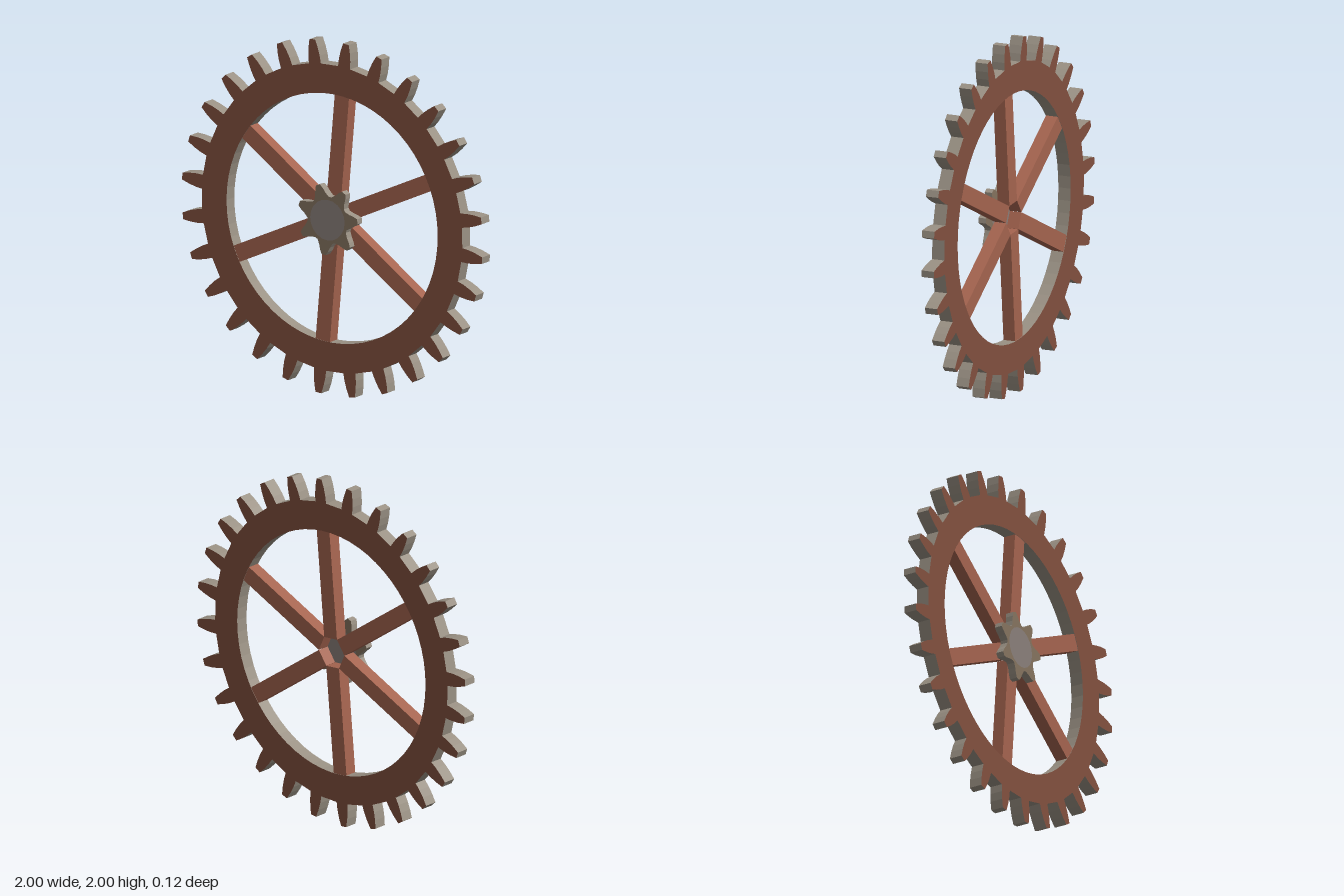
import * as THREE from 'three';

const mat = (color) => new THREE.MeshStandardMaterial({ color, flatShading: true });

// Outline of a toothed wheel; profile lists [radius, half width] from root to tip
function gearShape(teeth, offset, profile, holeRadius, holeSides) {
  const pts = [];
  for (let i = 0; i < teeth; i++) {
    const a = offset + (i * Math.PI * 2) / teeth;
    const add = (r, w) => pts.push(new THREE.Vector2(
      r * Math.cos(a) - w * Math.sin(a), r * Math.sin(a) + w * Math.cos(a)));
    profile.forEach(([r, w]) => add(r, -w));
    [...profile].reverse().forEach(([r, w]) => add(r, w));
  }
  const shape = new THREE.Shape(pts);
  const hole = [];
  for (let i = 0; i < holeSides; i++) {
    const a = (-i * Math.PI * 2) / holeSides;
    hole.push(new THREE.Vector2(holeRadius * Math.cos(a), holeRadius * Math.sin(a)));
  }
  shape.holes.push(new THREE.Path(hole));
  return shape;
}

export function createModel() {
  const group = new THREE.Group();
  const zBack = -0.06, zMid = 0.015, zFront = 0.06;
  const deg = Math.PI / 180;
  const add = (name, geometry, material) => {
    const mesh = new THREE.Mesh(geometry, material);
    mesh.name = name;
    group.add(mesh);
    return mesh;
  };
  const edge = mat(0x9a9184);

  // Large toothed rim
  const rimShape = gearShape(28, 7.6 * deg,
    [[0.867, 0.04], [0.91, 0.038], [0.955, 0.031], [1.002, 0.019]], 0.703, 64);
  const rim = add('toothedRim',
    new THREE.ExtrudeGeometry(rimShape, { depth: zMid - zBack, bevelEnabled: false }),
    [mat(0x82503f), edge]);
  rim.position.set(0, 1, zBack);

  // Six spokes, inner ends meeting around an open hexagon
  const spokeMat = mat(0xa5644f);
  const inner = 0.083, outer = 0.708, width = 0.095;
  for (let i = 0; i < 6; i++) {
    const a = (24.8 + i * 60) * deg, mid = (inner + outer) / 2;
    const spoke = add('spoke', new THREE.BoxGeometry(outer - inner, width, 0.071), spokeMat);
    spoke.position.set(mid * Math.cos(a), 1 + mid * Math.sin(a), (zBack + zMid) / 2);
    spoke.rotation.z = a;
  }

  // Small front pinion with a plug filling its centre
  const pinionShape = gearShape(7, 5.5 * deg,
    [[0.124, 0.05], [0.15, 0.036], [0.178, 0.026], [0.2, 0.014]], 0.115, 20);
  const pinion = add('pinion',
    new THREE.ExtrudeGeometry(pinionShape, { depth: zFront - zMid, bevelEnabled: false }),
    [mat(0x85735f), edge]);
  pinion.position.set(0, 1, zMid);

  const plug = add('hubPlug',
    new THREE.CylinderGeometry(0.115, 0.115, zFront - zMid, 20), mat(0x8a7f7a));
  plug.rotation.x = Math.PI / 2;
  plug.position.set(0, 1, (zMid + zFront) / 2);

  return group;
}
